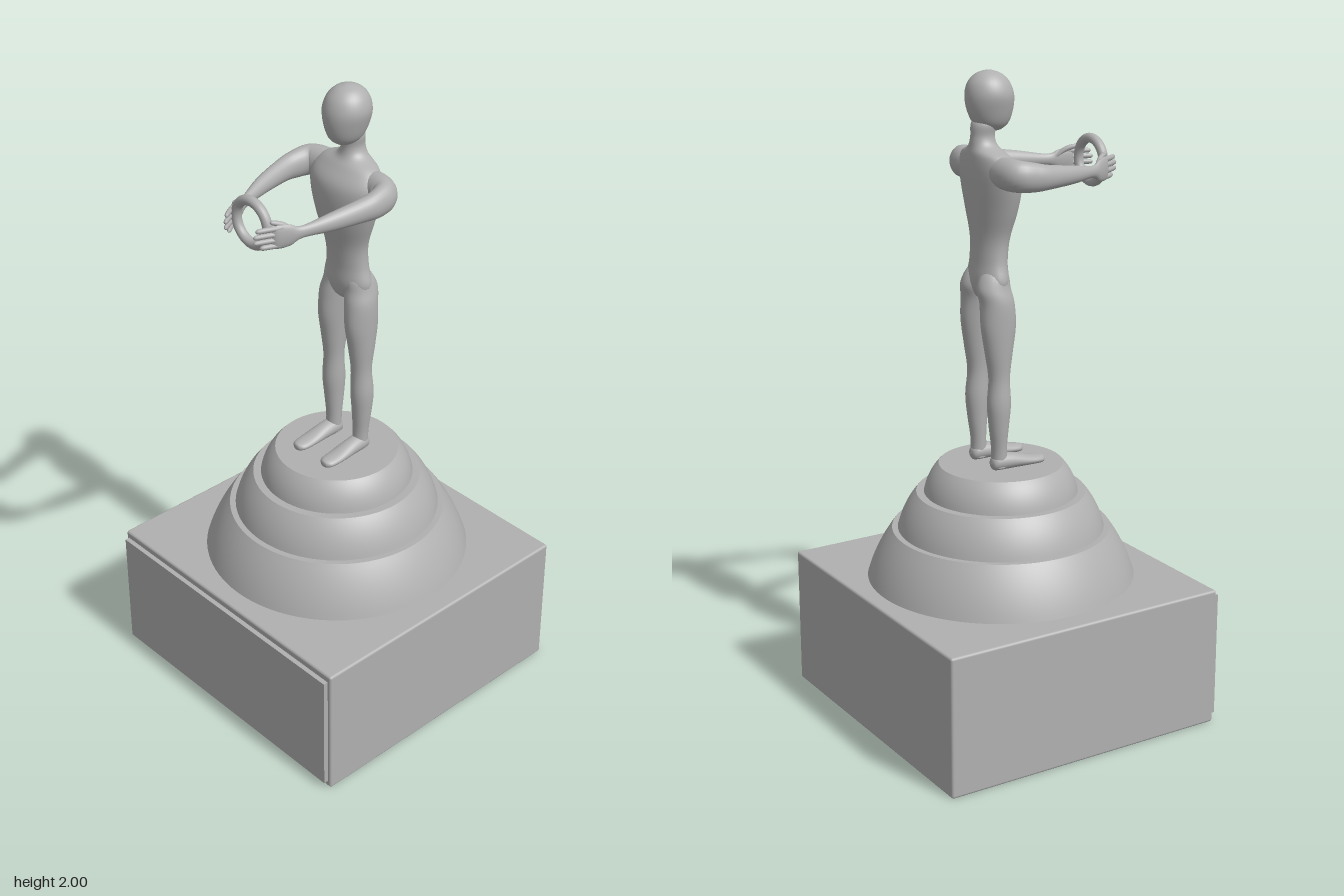
import * as THREE from 'three';
import { RoundedBoxGeometry } from 'three/addons/geometries/RoundedBoxGeometry.js';

const castMetal = new THREE.MeshStandardMaterial({ color: 0xb0b0b0 });
castMetal.name = 'cast grey';

const V = (x, y, z) => new THREE.Vector3(x, y, z);

// Smooth closed skin through elliptical sections [x, y, z, ra, rb].
// Upright: ra is the x radius, rb the z radius, sections run upwards.
// Otherwise: ra is the sideways radius, rb the vertical one.
function loft(sections, upright = false, sides = 24, steps = 5) {
  const centre = new THREE.CatmullRomCurve3(sections.map(s => V(s[0], s[1], s[2])), false, 'catmullrom', 0.5);
  const radius = new THREE.CatmullRomCurve3(sections.map(s => V(s[3], s[4], 0)), false, 'catmullrom', 0.5);
  const rows = (sections.length - 1) * steps;
  const pos = [], index = [];
  const Y = V(0, 1, 0);
  for (let i = 0; i <= rows; i++) {
    const t = i / rows, c = centre.getPoint(t), r = radius.getPoint(t);
    const u = upright ? V(0, 0, 1) : Y.clone().cross(centre.getTangent(t)).normalize();
    const v = upright ? V(1, 0, 0) : Y;
    const ru = Math.max(0.0005, upright ? r.y : r.x), rv = Math.max(0.0005, upright ? r.x : r.y);
    for (let j = 0; j < sides; j++) {
      const a = j / sides * Math.PI * 2;
      const p = c.clone().addScaledVector(u, ru * Math.cos(a)).addScaledVector(v, rv * Math.sin(a));
      pos.push(p.x, p.y, p.z);
      if (i < rows) {
        const k = (j + 1) % sides, b = i * sides, n = b + sides;
        index.push(b + j, b + k, n + j, b + k, n + k, n + j);
      }
    }
  }
  const g = new THREE.BufferGeometry();
  g.setAttribute('position', new THREE.Float32BufferAttribute(pos, 3));
  g.setIndex(index);
  g.computeVertexNormals();
  return g;
}

function add(parent, name, geometry, x = 0, y = 0, z = 0) {
  const m = new THREE.Mesh(geometry, castMetal);
  m.name = name;
  m.position.set(x, y, z);
  parent.add(m);
  return m;
}

// Arm reaching towards -x, with a palm, four fingers and a thumb
function makeArm(name, s, path) {
  const arm = new THREE.Group();
  arm.name = name;
  const [elbow, forearm, wrist, palm, tip] = path;
  add(arm, 'armSkin', loft([
    [0.062, 1.715, s * 0.05, 0.035, 0.04],
    [0.06, 1.715, s * 0.11, 0.04, 0.047],
    [0.045, 1.713, s * 0.155, 0.038, 0.047],
    [0.0, 1.708, s * 0.17, 0.031, 0.043],
    [-0.05, 1.704, s * elbow, 0.028, 0.036],
    [-0.15, 1.698, s * forearm, 0.022, 0.027],
    [-0.24, 1.692, s * wrist, 0.012, 0.018],
    [-0.275, 1.69, s * (wrist * 0.55 + palm * 0.45), 0.011, 0.032],
    [-0.31, 1.69, s * palm, 0.009, 0.036],
    [-0.325, 1.69, s * (palm * 0.8 + tip * 0.2), 0.001, 0.026],
  ]));
  for (let i = 0; i < 4; i++) {
    const y = 1.664 + i * 0.0175, reach = i === 0 ? 0.016 : i === 3 ? 0.006 : 0;
    add(arm, 'finger' + (i + 1), loft([
      [-0.295, y, s * (palm + 0.006), 0.007, 0.008],
      [-0.335, y, s * (palm * 0.6 + tip * 0.4), 0.007, 0.008],
      [-0.367 + reach, y, s * (tip + 0.004 + reach * 0.4), 0.006, 0.007],
      [-0.373 + reach, y, s * (tip + reach * 0.4), 0.0005, 0.0005],
    ], false, 10, 4));
  }
  add(arm, 'thumb', loft([
    [-0.262, 1.70, s * (wrist - 0.01), 0.007, 0.009],
    [-0.29, 1.722, s * (palm + 0.002), 0.008, 0.009],
    [-0.317, 1.732, s * (palm - 0.012), 0.006, 0.007],
    [-0.324, 1.733, s * (palm - 0.015), 0.0005, 0.0005],
  ], false, 10, 4));
  return arm;
}

// Leg and foot, s gives the side along z
function makeLeg(name, s) {
  const leg = new THREE.Group();
  leg.name = name;
  add(leg, 'legSkin', loft([
    [0.05, 0.81, s * 0.06, 0.026, 0.024],
    [0.052, 0.87, s * 0.06, 0.024, 0.025],
    [0.054, 0.94, s * 0.062, 0.031, 0.03],
    [0.054, 1.01, s * 0.063, 0.037, 0.034],
    [0.052, 1.09, s * 0.061, 0.033, 0.031],
    [0.053, 1.17, s * 0.06, 0.044, 0.037],
    [0.053, 1.25, s * 0.058, 0.056, 0.043],
    [0.055, 1.32, s * 0.054, 0.054, 0.047],
    [0.062, 1.365, s * 0.046, 0.053, 0.045],
    [0.055, 1.41, s * 0.04, 0.04, 0.036],
    [0.055, 1.44, s * 0.035, 0.004, 0.004],
  ], true));
  add(leg, 'foot', loft([
    [0.08, 0.822, s * 0.06, 0.001, 0.001],
    [0.074, 0.822, s * 0.06, 0.018, 0.018],
    [0.055, 0.826, s * 0.06, 0.026, 0.026],
    [0.01, 0.824, s * 0.061, 0.028, 0.024],
    [-0.05, 0.816, s * 0.062, 0.029, 0.016],
    [-0.088, 0.813, s * 0.062, 0.026, 0.013],
    [-0.103, 0.812, s * 0.062, 0.014, 0.01],
    [-0.106, 0.812, s * 0.062, 0.001, 0.001],
  ]));
  return leg;
}

export function createModel() {
  const model = new THREE.Group();
  model.name = 'statuette';

  // Square base with a thin plate on the side the figure faces
  add(model, 'base', new RoundedBoxGeometry(0.94, 0.44, 0.97, 3, 0.008), 0.005, 0.22, 0);
  add(model, 'facePlate', new THREE.BoxGeometry(0.02, 0.395, 0.945), -0.47, 0.22, 0);

  // Three curved tiers: [bottom y, bottom r, top y, top r]
  const tiers = [[0.438, 0.415, 0.595, 0.337], [0.595, 0.319, 0.71, 0.261], [0.71, 0.237, 0.8, 0.191]];
  tiers.forEach(([y0, r0, y1, r1], i) => {
    const bulge = new THREE.QuadraticBezierCurve(
      new THREE.Vector2(r0, y0),
      new THREE.Vector2((r0 + r1) / 2 + 0.013, (y0 + y1) / 2 + 0.008),
      new THREE.Vector2(r1, y1));
    add(model, 'tierWall' + (i + 1), new THREE.LatheGeometry(bulge.getPoints(10), 96), 0.008);
    const top = add(model, 'tierTop' + (i + 1), new THREE.CircleGeometry(r1, 96), 0.008, y1, 0);
    top.rotation.x = -Math.PI / 2;
  });

  // Standing figure facing -x
  const figure = new THREE.Group();
  figure.name = 'figure';
  model.add(figure);
  add(figure, 'torso', loft([
    [0.053, 1.315, 0, 0.004, 0.006],
    [0.053, 1.335, 0, 0.036, 0.06],
    [0.054, 1.38, 0, 0.05, 0.088],
    [0.051, 1.44, 0, 0.048, 0.075],
    [0.046, 1.51, 0, 0.052, 0.076],
    [0.041, 1.59, 0, 0.065, 0.103],
    [0.041, 1.66, 0, 0.072, 0.124],
    [0.046, 1.715, 0, 0.07, 0.13],
    [0.06, 1.757, 0, 0.054, 0.105],
    [0.068, 1.782, 0, 0.042, 0.05],
    [0.07, 1.81, 0, 0.037, 0.033],
    [0.066, 1.85, 0, 0.036, 0.036],
    [0.06, 1.88, 0, 0.01, 0.01],
  ], true, 32));
  add(figure, 'head', loft([
    [0.035, 1.822, 0, 0.002, 0.002],
    [0.038, 1.829, 0, 0.03, 0.026],
    [0.042, 1.85, 0, 0.056, 0.047],
    [0.045, 1.89, 0, 0.071, 0.062],
    [0.047, 1.93, 0, 0.073, 0.07],
    [0.049, 1.965, 0, 0.062, 0.06],
    [0.05, 1.988, 0, 0.04, 0.039],
    [0.05, 1.998, 0, 0.015, 0.015],
    [0.05, 2.0, 0, 0.0005, 0.0005],
  ], true, 32));
  figure.add(makeLeg('rightLeg', -1), makeLeg('leftLeg', 1));

  // Arm distances from the middle: elbow, forearm, wrist, palm, fingertips
  figure.add(makeArm('rightArm', -1, [0.170, 0.147, 0.114, 0.08, 0.042]));
  figure.add(makeArm('leftArm', 1, [0.167, 0.15, 0.129, 0.104, 0.076]));

  // Ring held between the hands
  const ring = add(model, 'ring', new THREE.TorusGeometry(0.066, 0.015, 16, 48), -0.32, 1.702, 0.01);
  ring.rotation.y = Math.PI / 2;

  return model;
}
